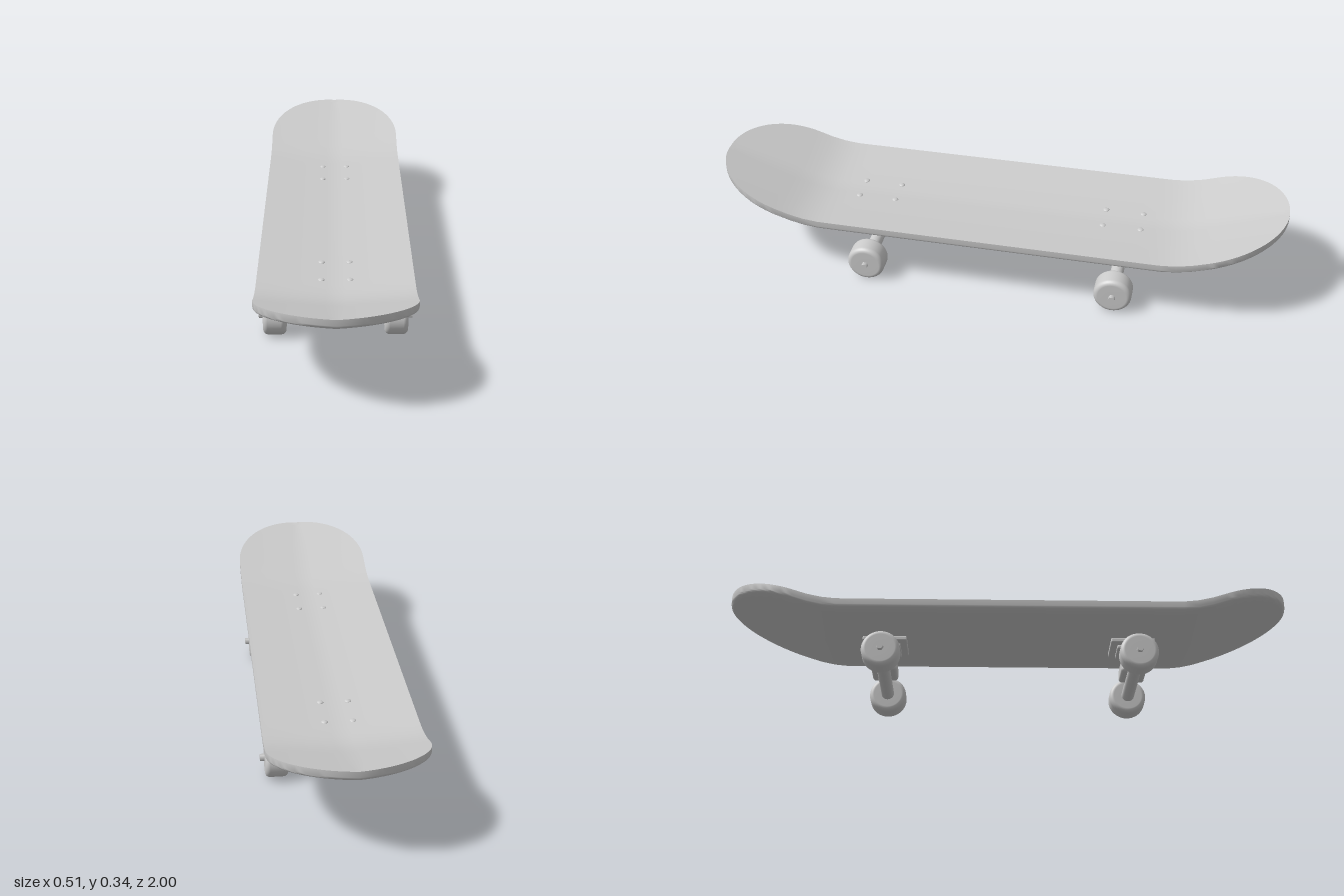
import * as THREE from 'three';
import { mergeGeometries, toCreasedNormals } from 'three/addons/utils/BufferGeometryUtils.js';
import { RoundedBoxGeometry } from 'three/addons/geometries/RoundedBoxGeometry.js';

const HALF_WIDTH = 0.252, THICKNESS = 0.03, BASE = 0.193;
const TRUCK_Z = 0.44, AXLE_Y = 0.067;

// Height of the deck underside: shallow V across, kicked up at both ends
function deckHeight(x, z) {
  const a = Math.abs(z), start = 0.58, end = 0.72, slope = 0.337;
  let kick = 0;
  if (a > end) kick = slope * (a - (start + end) / 2);
  else if (a > start) kick = slope * (a - start) ** 2 / (2 * (end - start));
  return BASE + kick + 0.06 * Math.abs(x) + 0.08 * x * x;
}

// Stadium outline, as [half width, z] stations from back to front
function stations(inset) {
  const r = HALF_WIDTH - inset, straight = 1 - HALF_WIDTH, list = [];
  for (let i = 0; i <= 20; i++) {
    const t = (i / 20) * Math.PI / 2;
    list.push([r * Math.sin(t), -straight - r * Math.cos(t)]);
  }
  for (let i = 1; i < 30; i++) list.push([r, -straight + (2 * straight * i) / 30]);
  for (let i = 0; i <= 20; i++) {
    const t = (i / 20) * Math.PI / 2;
    list.push([r * Math.cos(t), straight + r * Math.sin(t)]);
  }
  return list;
}

// Skin a list of equally long rows of points
function skin(rows, flip = false) {
  const n = rows[0].length, index = [];
  for (let i = 0; i < rows.length - 1; i++) {
    for (let j = 0; j < n - 1; j++) {
      const a = i * n + j, b = a + 1, c = a + n, d = c + 1;
      if (flip) index.push(a, b, c, b, d, c);
      else index.push(a, c, b, b, c, d);
    }
  }
  const g = new THREE.BufferGeometry();
  g.setAttribute('position', new THREE.Float32BufferAttribute(rows.flat(2), 3));
  g.setIndex(index);
  return g;
}

function deckGeometry() {
  const bevel = 0.01;
  const face = (inset, lift) => stations(inset).map(([w, z]) =>
    Array.from({ length: 17 }, (_, j) => {
      const x = w * (j / 8 - 1);
      return [x, deckHeight(x, z) + lift, z];
    }));
  const ring = (inset, lift) => {
    const s = stations(inset);
    const side = (k, list) => list.map(([w, z]) => [k * w, deckHeight(w, z) + lift, z]);
    return [...side(1, s), ...side(-1, s.slice().reverse())];
  };
  // Rim: upright edge running into a rounded lower corner
  const rim = [ring(0, THICKNESS)];
  for (let i = 0; i <= 4; i++) {
    const t = (i / 4) * Math.PI / 2;
    rim.push(ring(bevel * (1 - Math.cos(t)), bevel * (1 - Math.sin(t))));
  }
  const parts = [skin(face(0, THICKNESS)), skin(face(bevel, 0), true), skin(rim, true)];
  return toCreasedNormals(mergeGeometries(parts).toNonIndexed(), 0.6);
}

// Solid of revolution about x with rounded corners
function wheelGeometry(radius, width, round) {
  const h = width / 2, points = [new THREE.Vector2(0, -h), new THREE.Vector2(0.02, -h)];
  for (const end of [-1, 1]) {
    for (let i = 0; i <= 6; i++) {
      const t = (end < 0 ? i - 6 : i) / 6 * Math.PI / 2;
      points.push(new THREE.Vector2(radius - round + round * Math.cos(t), end * (h - round) + round * Math.sin(t)));
    }
  }
  points.push(new THREE.Vector2(0.02, h), new THREE.Vector2(0, h));
  return new THREE.LatheGeometry(points, 40).rotateZ(-Math.PI / 2);
}

export function createModel() {
  const model = new THREE.Group();
  model.name = 'skateboard';
  const grey = new THREE.MeshStandardMaterial({ color: 0xcccccc });
  grey.name = 'light grey';

  function add(parent, name, geometry, x = 0, y = 0, z = 0) {
    const mesh = new THREE.Mesh(geometry, grey);
    mesh.name = name;
    mesh.position.set(x, y, z);
    parent.add(mesh);
    return mesh;
  }
  const upright = (r, y0, y1, sides = 32) =>
    new THREE.CylinderGeometry(r, r, y1 - y0, sides).translate(0, (y0 + y1) / 2, 0);
  const rod = (r, length, sides = 24) =>
    new THREE.CylinderGeometry(r, r, length, sides).rotateZ(Math.PI / 2);

  add(model, 'deck', deckGeometry());

  for (const end of [1, -1]) {
    const truck = new THREE.Group();
    truck.name = end > 0 ? 'frontTruck' : 'backTruck';
    truck.position.z = end * TRUCK_Z;
    model.add(truck);

    // Mounting plates
    add(truck, 'basePlate', new RoundedBoxGeometry(0.138, 0.016, 0.156, 3, 0.004), 0, 0.183, 0);
    add(truck, 'plateSpacer', new THREE.BoxGeometry(0.1, 0.012, 0.11), 0, 0.194, 0);
    add(truck, 'lowerPlate', new RoundedBoxGeometry(0.098, 0.013, 0.11, 3, 0.004), 0, 0.166, 0);

    // Pivot post, cushion and hanger
    add(truck, 'kingpin', upright(0.011, 0.1, 0.175));
    add(truck, 'bushing', upright(0.032, 0.122, 0.156));
    add(truck, 'kingpinNut', upright(0.019, 0.062, 0.08, 6));
    add(truck, 'hanger', new RoundedBoxGeometry(0.112, 0.048, 0.09, 4, 0.012), 0, 0.092, 0);
    add(truck, 'axleTube', rod(0.023, 0.324, 32), 0, AXLE_Y, 0);
    add(truck, 'axlePin', rod(0.007, 0.506), 0, AXLE_Y, 0);

    // Wheels and axle nuts
    for (const side of [1, -1]) {
      add(truck, side > 0 ? 'leftWheel' : 'rightWheel', wheelGeometry(0.066, 0.076, 0.016), side * 0.2, AXLE_Y, 0);
      add(truck, 'axleNut', rod(0.012, 0.018, 6), side * 0.244, AXLE_Y, 0);
    }

    // Low domed bolt heads on the deck
    for (const x of [-0.046, 0.046]) {
      for (const z of [-0.066, 0.066]) {
        const dome = new THREE.SphereGeometry(0.011, 16, 6, 0, Math.PI * 2, 0, Math.PI / 2).scale(1, 0.45, 1);
        const top = deckHeight(x, end * TRUCK_Z + z) + THICKNESS;
        add(truck, 'deckBolt', dome, x, top - 0.0005, z);
      }
    }
  }
  return model;
}
